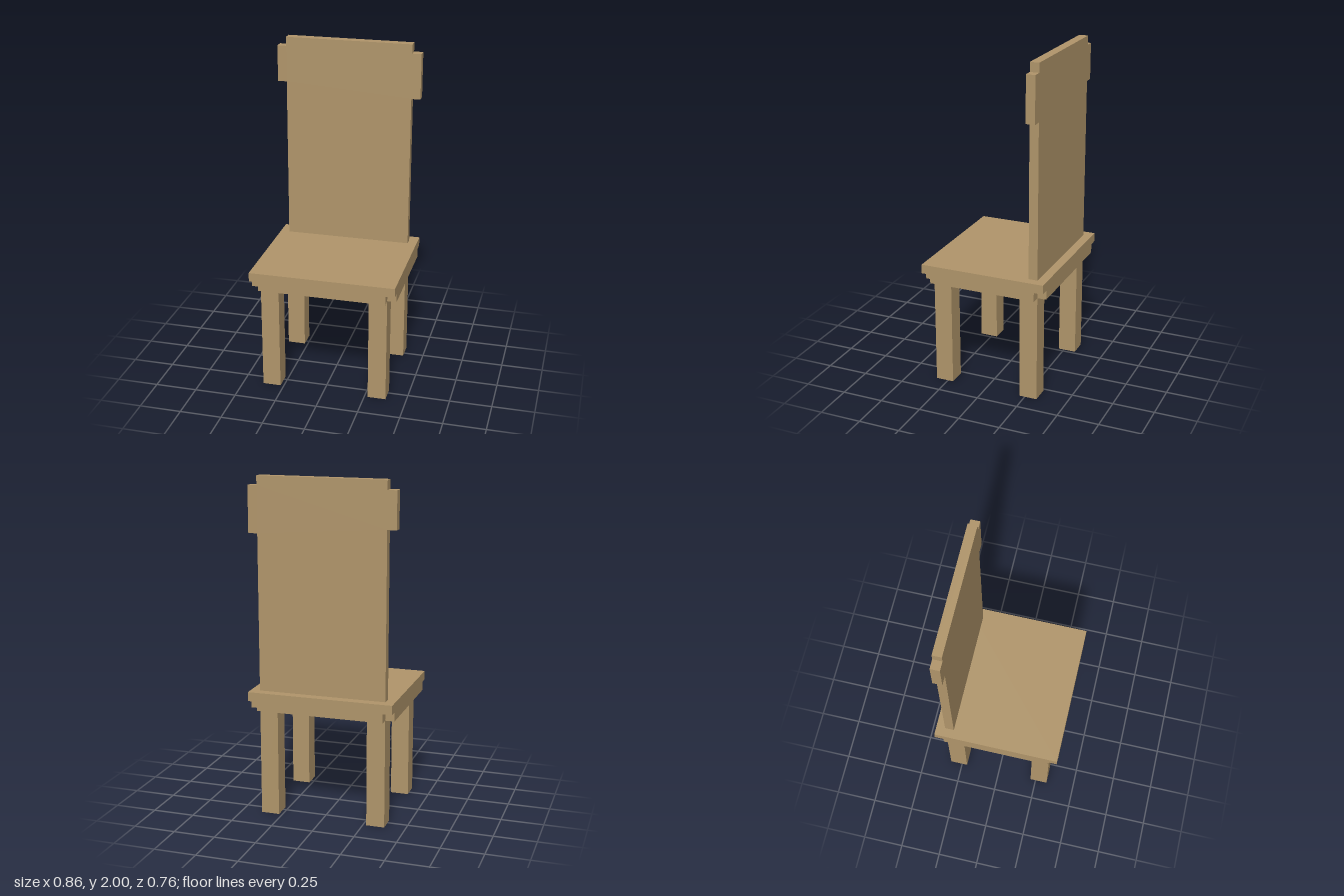
import * as THREE from 'three';

// Every measure is a whole number of cells; the chair is 37 cells tall.
const CELL = 2 / 37;

export function createModel() {
  const chair = new THREE.Group();
  chair.name = 'chair';
  const wood = new THREE.MeshStandardMaterial({ color: 0xb0956a });
  wood.name = 'wood';

  function add(name, geometry) {
    geometry.scale(CELL, CELL, CELL);
    const mesh = new THREE.Mesh(geometry, wood);
    mesh.name = name;
    chair.add(mesh);
  }

  // Box given by its lowest and highest corners
  function box(name, [x0, y0, z0], [x1, y1, z1]) {
    const geometry = new THREE.BoxGeometry(x1 - x0, y1 - y0, z1 - z0);
    geometry.translate((x0 + x1) / 2, (y0 + y1) / 2, (z0 + z1) / 2);
    add(name, geometry);
  }

  // Flat outline, extruded along z
  function plate(points, depth) {
    const shape = new THREE.Shape(points.map(([x, y]) => new THREE.Vector2(x, y)));
    return new THREE.ExtrudeGeometry(shape, { depth, bevelEnabled: false });
  }

  // Four square legs
  for (const [side, x] of [['Left', 5], ['Right', -7]]) {
    for (const [end, z] of [['front', 4], ['back', -6]]) {
      box(`${end}${side}Leg`, [x, 0, z], [x + 2, 12, z + 2]);
    }
  }

  // Seat: a full slab over a layer with notched corners
  box('seatTop', [-8, 13, -7], [8, 14, 7]);
  const lowerSeat = plate([
    [-7, -7], [7, -7], [7, -6], [8, -6], [8, 6], [7, 6],
    [7, 7], [-7, 7], [-7, 6], [-8, 6], [-8, -6], [-7, -6],
  ], 1);
  lowerSeat.rotateX(-Math.PI / 2).translate(0, 12, 0);
  add('seatUnderside', lowerSeat);

  // Backrest with uneven ears: the left one reaches one cell lower
  const backrest = plate([
    [-7, 14], [7, 14], [7, 31], [8, 31], [8, 36], [7, 36],
    [7, 37], [-7, 37], [-7, 36], [-8, 36], [-8, 32], [-7, 32],
  ], 1);
  backrest.translate(0, 0, -6);
  add('backrest', backrest);

  return chair;
}
